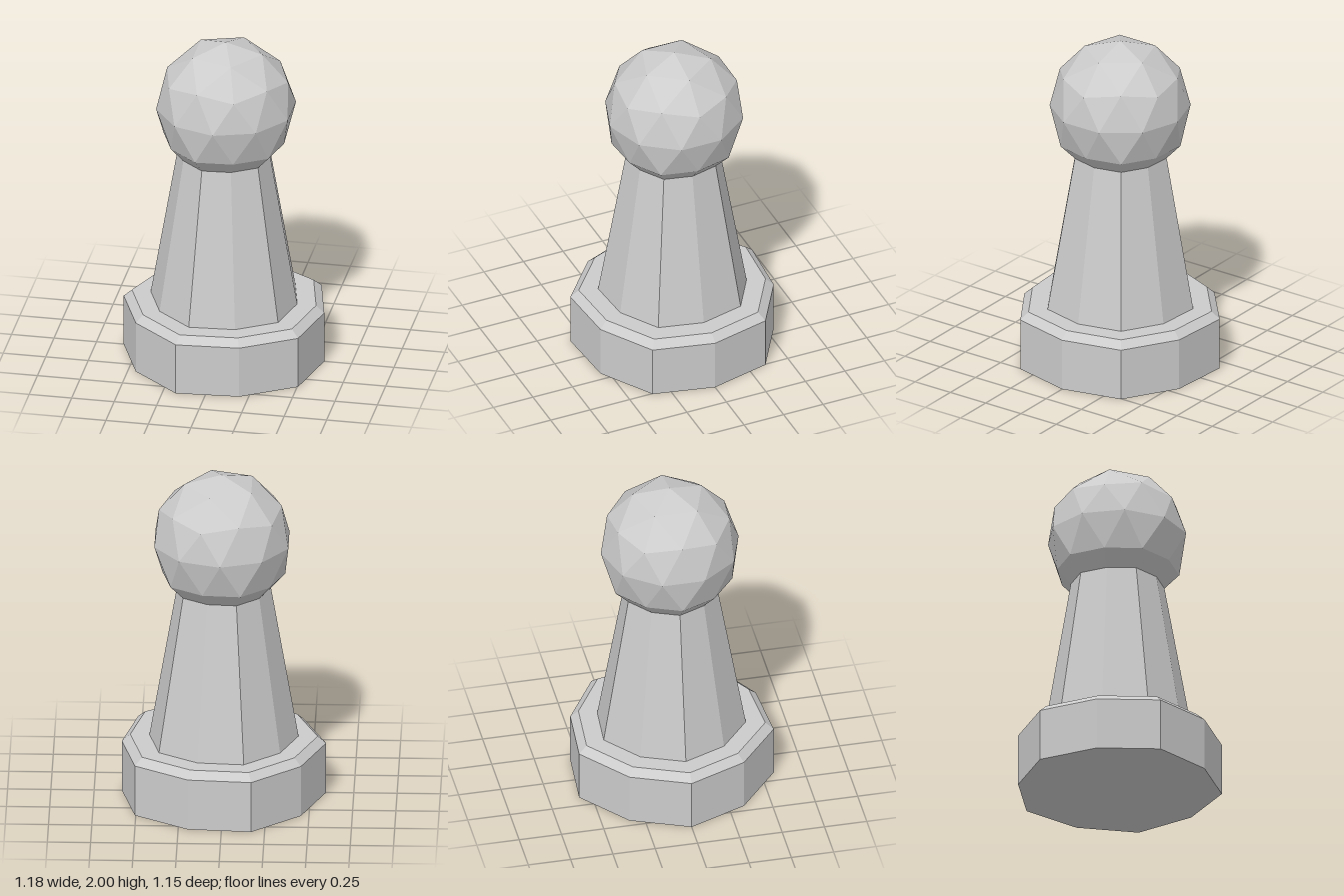
import * as THREE from 'three';

// Slightly irregular ten-sided footprint, mirrored across z
const half = [[0.59, 0], [0.505, 0.357], [0.195, 0.548], [-0.172, 0.575], [-0.453, 0.338], [-0.59, 0]];
const outline = [...half, ...half.slice(1, 5).reverse().map(([x, z]) => [x, -z])];
const N = outline.length;

const corner = (i, scale, y) => {
  const [x, z] = outline[((i % N) + N) % N];
  return [x * scale, y, z * scale];
};

const material = new THREE.MeshStandardMaterial({ color: 0xcccccc, flatShading: true });

function facetedMesh(name, positions) {
  const geo = new THREE.BufferGeometry();
  geo.setAttribute('position', new THREE.Float32BufferAttribute(positions, 3));
  geo.computeVertexNormals();
  const mesh = new THREE.Mesh(geo, material);
  mesh.name = name;
  return mesh;
}

// Stack scaled copies of the outline; levels are [scale, y] from bottom to top
function loft(name, levels) {
  const pos = [];
  for (let k = 0; k < levels.length - 1; k++) {
    for (let i = 0; i < N; i++) {
      const a = corner(i, ...levels[k]), b = corner(i + 1, ...levels[k]);
      const c = corner(i, ...levels[k + 1]), d = corner(i + 1, ...levels[k + 1]);
      if (levels[k][0] > 0) pos.push(...a, ...d, ...b);
      pos.push(...a, ...c, ...d);
    }
  }
  return facetedMesh(name, pos);
}

// Faceted ball standing on a vertex, its lower ring fitted to the collar
function head(collarScale, collarY) {
  const radius = 0.407, cx = 0.012, cy = 1.593;
  const ball = new THREE.IcosahedronGeometry(1, 1);
  ball.rotateZ(-Math.atan(2 / (1 + Math.sqrt(5))));
  const p = ball.attributes.position;
  const pos = [];
  for (let t = 0; t < p.count; t += 3) {
    const tri = [t, t + 1, t + 2];
    if (tri.some((i) => p.getY(i) < -0.7)) continue; // open underneath
    for (const i of tri) {
      const x = p.getX(i), y = p.getY(i), z = p.getZ(i);
      if (y < -0.3) pos.push(...corner(Math.round(Math.atan2(z, x) / (Math.PI / 5)), collarScale, collarY));
      else pos.push(cx + x * radius, cy + y * radius, z * radius);
    }
  }
  return facetedMesh('head', pos);
}

export function createModel() {
  const group = new THREE.Group();
  group.name = 'pawn';
  group.add(
    // closed bottom, straight wall, bevel and ledge
    loft('base', [[0, 0], [1, 0], [1, 0.312], [0.918, 0.355], [0.73, 0.355]]),
    loft('body', [[0.73, 0.355], [0.46, 1.29]]),
    loft('collar', [[0.46, 1.29], [0.6, 1.38]]),
    head(0.6, 1.38),
  );
  return group;
}
